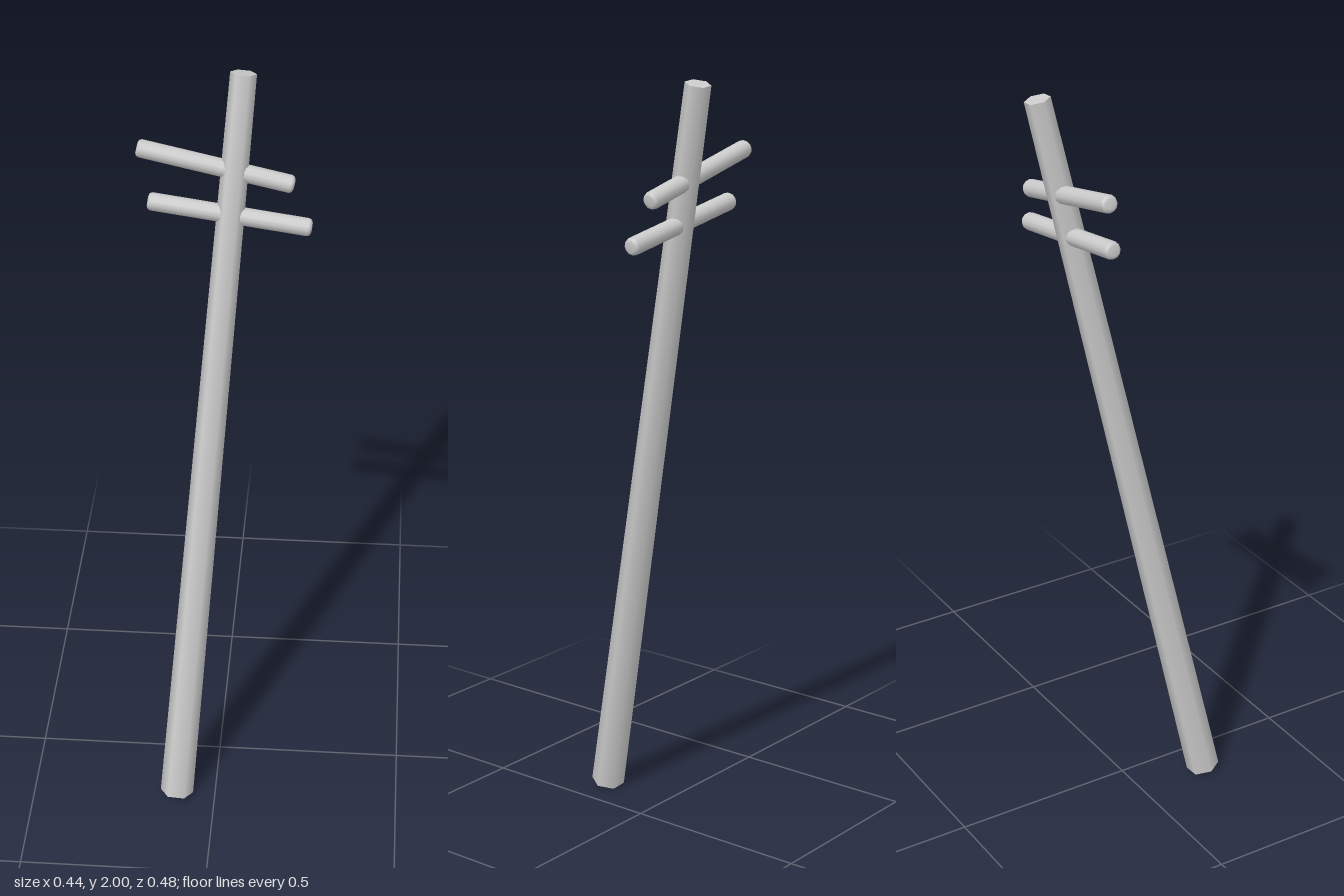
import * as THREE from 'three';

const material = new THREE.MeshStandardMaterial({ color: 0xcccccc });
const UP = new THREE.Vector3(0, 1, 0);

// Places a y-aligned geometry so that its axis runs from a to b
function span(name, geometry, a, b) {
  const mesh = new THREE.Mesh(geometry, material);
  mesh.name = name;
  mesh.position.copy(a).add(b).multiplyScalar(0.5);
  mesh.quaternion.setFromUnitVectors(UP, b.clone().sub(a).normalize());
  return mesh;
}

// Round bar with softened ends
function barGeometry(length, radius, bevel) {
  const h = length / 2;
  const half = [[0, h], [radius - bevel, h], [radius - bevel * 0.3, h - bevel * 0.3], [radius, h - bevel]];
  const profile = [
    ...half.map(([r, y]) => new THREE.Vector2(r, -y)),
    ...half.reverse().map(([r, y]) => new THREE.Vector2(r, y)),
  ];
  return new THREE.LatheGeometry(profile, 12);
}

export function createModel() {
  const group = new THREE.Group();
  group.name = 'utilityPole';

  // Leaning, tapered six-sided pole
  const base = new THREE.Vector3(-0.105, 0.009, 0.2);
  const top = new THREE.Vector3(0.042, 1.993, -0.212);
  const pole = new THREE.CylinderGeometry(0.033, 0.045, base.distanceTo(top), 6, 1, false, Math.PI / 6);
  group.add(span('pole', pole, base, top));

  // Two crossbars passing through the pole, tilted to one side
  const bars = [
    ['upperCrossbar', [-0.22, 1.804, -0.167], [0.173, 1.716, -0.165]],
    ['lowerCrossbar', [-0.192, 1.67, -0.141], [0.22, 1.608, -0.144]],
  ];
  for (const [name, from, to] of bars) {
    const a = new THREE.Vector3(...from);
    const b = new THREE.Vector3(...to);
    group.add(span(name, barGeometry(a.distanceTo(b), 0.023, 0.01), a, b));
  }
  return group;
}
